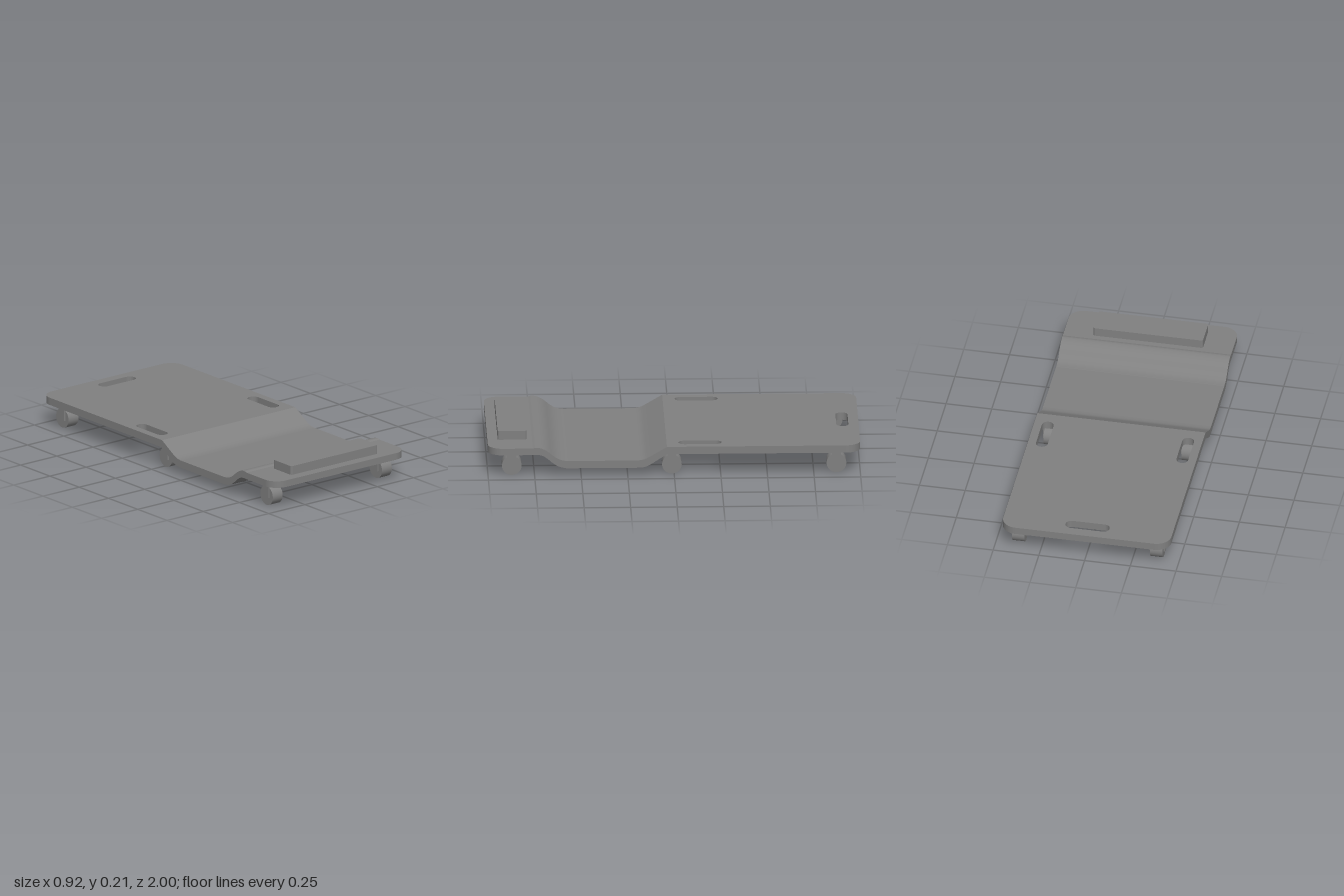
import * as THREE from 'three';

const HALF_W = 0.46, CORNER = 0.08;

// Rounded rectangle outline; r = [minY corners, maxY corners]
function roundedRect(path, x0, y0, x1, y1, rLow, rHigh) {
  const arc = (x, y, r, a) => { if (r > 0) path.absarc(x, y, r, a, a + Math.PI / 2, false); else path.lineTo(x, y); };
  path.moveTo(x0 + rLow, y0);
  arc(x1 - rLow, y0 + rLow, rLow, -Math.PI / 2);
  arc(x1 - rHigh, y1 - rHigh, rHigh, 0);
  arc(x0 + rHigh, y1 - rHigh, rHigh, Math.PI / 2);
  arc(x0 + rLow, y0 + rLow, rLow, Math.PI);
  path.closePath();
  return path;
}

// Horizontal slab from a plan outline drawn in (x, -z)
function slab(shape, y0, y1) {
  const g = new THREE.ExtrudeGeometry(shape, { depth: y1 - y0, bevelEnabled: false, curveSegments: 12 });
  return g.rotateX(-Math.PI / 2).translate(0, y0, 0);
}

export function createModel() {
  const group = new THREE.Group();
  const grey = new THREE.MeshStandardMaterial({ color: 0x808080 });
  grey.name = 'grey';
  const add = (parent, name, geo, x = 0, y = 0, z = 0) => {
    const m = new THREE.Mesh(geo, grey);
    m.name = name;
    m.position.set(x, y, z);
    parent.add(m);
    return m;
  };

  // Rear bed with three hand slots
  const rear = roundedRect(new THREE.Shape(), -HALF_W, -0.04, HALF_W, 1, 0, CORNER);
  const slot = (x0, y0, x1, y1, r) => rear.holes.push(roundedRect(new THREE.Path(), x0, y0, x1, y1, r, r));
  slot(-0.12, 0.88, 0.12, 0.945, 0.032);
  slot(0.352, 0.025, 0.416, 0.255, 0.0319);
  slot(-0.416, 0.025, -0.352, 0.255, 0.0319);
  add(group, 'rearBed', slab(rear, 0.125, 0.166));

  // Front deck and head pad
  const front = roundedRect(new THREE.Shape(), -HALF_W, -1, HALF_W, -0.76, CORNER, 0);
  add(group, 'frontDeck', slab(front, 0.126, 0.163));
  const pad = roundedRect(new THREE.Shape(), -0.3, -0.945, 0.3, -0.79, 0.012, 0.012);
  add(group, 'headPad', slab(pad, 0.16, 0.212));

  // Dropped middle section, side profile in (z, y) swept across the width
  const v = (list) => list.map(([z, y]) => new THREE.Vector2(z, y));
  const dip = new THREE.Shape();
  dip.moveTo(0.04, 0.166);
  dip.lineTo(0.13, 0.113);
  dip.splineThru(v([[0.155, 0.1], [0.175, 0.094], [0.2, 0.091]]));
  dip.lineTo(0.57, 0.091);
  dip.splineThru(v([[0.605, 0.096], [0.64, 0.113], [0.68, 0.145], [0.71, 0.161], [0.74, 0.167], [0.76, 0.163]]));
  dip.lineTo(0.76, 0.126);
  dip.lineTo(0.735, 0.127);
  dip.splineThru(v([[0.71, 0.122], [0.685, 0.107], [0.65, 0.078], [0.62, 0.06], [0.58, 0.05]]));
  dip.lineTo(0.185, 0.05);
  dip.splineThru(v([[0.155, 0.055], [0.125, 0.07]]));
  dip.lineTo(0.04, 0.125);
  dip.closePath();
  const dipGeo = new THREE.ExtrudeGeometry(dip, { depth: 2 * HALF_W, bevelEnabled: false, curveSegments: 5 });
  add(group, 'droppedSection', dipGeo.translate(0, 0, -HALF_W).rotateY(-Math.PI / 2));

  // Six casters: wheel held between two fork cheeks under a top plate
  const R = 0.053;
  const wheelGeo = new THREE.CylinderGeometry(R, R, 0.068, 32).rotateZ(Math.PI / 2);
  const cheekGeo = new THREE.BoxGeometry(0.008, 0.083, 0.05);
  const plateGeo = new THREE.BoxGeometry(0.084, 0.016, 0.05);
  for (const z of [0.872, 0.012, -0.872]) {
    for (const side of [-1, 1]) {
      const caster = new THREE.Group();
      caster.name = 'caster';
      caster.position.set(side * 0.377, 0, z);
      add(caster, 'wheel', wheelGeo, 0, R, 0);
      add(caster, 'forkPlate', plateGeo, 0, 0.119, 0);
      for (const s of [-1, 1]) add(caster, 'forkCheek', cheekGeo, s * 0.038, 0.0855, 0);
      group.add(caster);
    }
  }
  return group;
}
